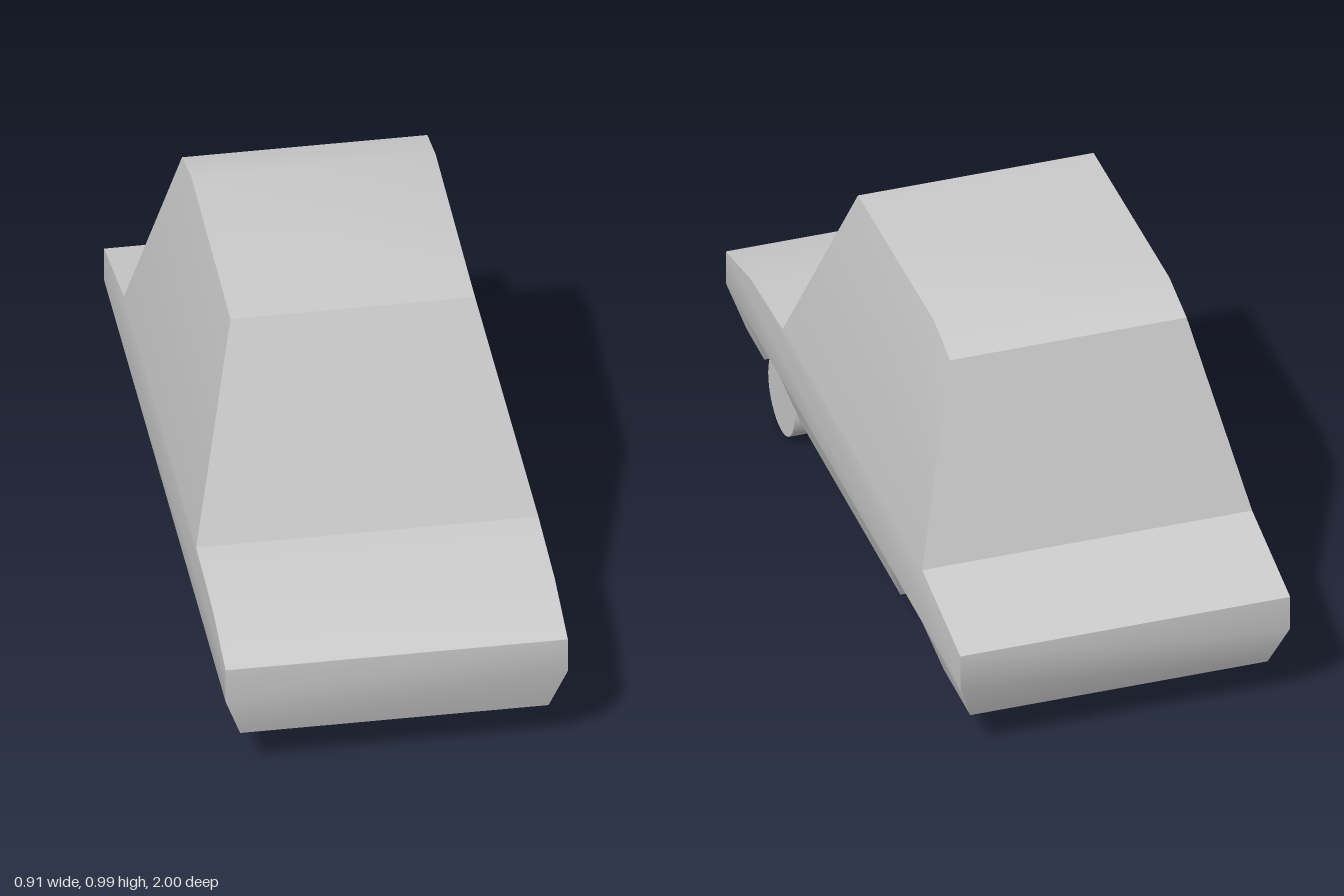
import * as THREE from 'three';
import { toCreasedNormals } from 'three/addons/utils/BufferGeometryUtils.js';

const FLOOR = 0.12, SILL = 0.25, BELT = 0.415, ARCH_DEPTH = 0.12;

// Half width of the body at a given height: tucked-in sill, straight flank, tapering cabin
function halfWidth(y) {
  if (y < SILL) return THREE.MathUtils.mapLinear(y, FLOOR, SILL, 0.41, 0.455);
  if (y <= BELT) return 0.455;
  return Math.max(0.325, THREE.MathUtils.mapLinear(y, BELT, 0.955, 0.455, 0.325));
}

// Silhouette as [z, y], running from the front floor edge over the roof to the rear floor edge
const cabin = [[0.515, BELT], [0.275, 0.965], [-0.37, 0.985], [-0.515, 0.95], [-0.675, BELT]];
const nose = [[0.96, FLOOR], [1, SILL], [1, 0.35], [0.79, 0.398]];
const tail = [[-1, 0.35], [-1, SILL], [-0.945, FLOOR]];
const silhouette = [...nose, ...cabin, ...tail];

// Wheel arches as [z, y], front to rear
const arches = [
  [[0.81, FLOOR], [0.765, SILL], [0.54, SILL], [0.5, FLOOR]],
  [[-0.35, FLOOR], [-0.405, SILL], [-0.675, SILL], [-0.72, FLOOR]],
];

// Adds a polygon of [x, y, z] corners whose front looks towards 'out'
function addFace(positions, corners, out) {
  const size = out.map(Math.abs);
  const drop = size.indexOf(Math.max(...size));
  const [u, v] = [0, 1, 2].filter((i) => i !== drop);
  const flat = corners.map((c) => new THREE.Vector2(c[u], c[v]));
  const outward = new THREE.Vector3(...out);
  for (const tri of THREE.ShapeUtils.triangulateShape(flat, [])) {
    const [a, b, c] = tri.map((i) => new THREE.Vector3(...corners[i]));
    const normal = b.clone().sub(a).cross(c.clone().sub(a));
    const ordered = normal.dot(outward) < 0 ? [a, c, b] : [a, b, c];
    ordered.forEach((p) => positions.push(p.x, p.y, p.z));
  }
}

function bodyGeometry() {
  const positions = [];

  // Bumpers, bonnet, windows, roof and boot: strips across the car along the silhouette
  for (let i = 0; i < silhouette.length - 1; i++) {
    const [z0, y0] = silhouette[i], [z1, y1] = silhouette[i + 1];
    const w0 = halfWidth(y0), w1 = halfWidth(y1);
    addFace(positions,
      [[-w0, y0, z0], [w0, y0, z0], [w1, y1, z1], [-w1, y1, z1]],
      [0, z0 - z1, y1 - y0]);
  }

  const lower = [[0.96, FLOOR], [1, SILL], [-1, SILL], [-0.945, FLOOR],
    ...arches.flat().reverse()];
  const flank = [...nose.slice(1), cabin[0], cabin[4], ...tail.slice(0, 2)];

  for (const s of [1, -1]) {
    // Sides: sill band with arch cut-outs, flank, cabin side
    for (const outline of [lower, flank, cabin]) {
      addFace(positions, outline.map(([z, y]) => [s * halfWidth(y), y, z]), [s, 0, 0]);
    }
    // Wheel arches: inner wall, ceiling and two sloping ends
    for (const arch of arches) {
      const outer = arch.map(([z, y]) => [s * halfWidth(y), y, z]);
      const inner = arch.map(([z, y]) => [s * (halfWidth(y) - ARCH_DEPTH), y, z]);
      addFace(positions, inner, [s, 0, 0]);
      [[0, -0.1, -1], [0, -1, 0], [0, -0.1, 1]].forEach((out, i) => {
        addFace(positions, [outer[i], outer[i + 1], inner[i + 1], inner[i]], out);
      });
    }
  }

  // Underside with the arches notched out of both edges
  const w = halfWidth(FLOOR);
  const edge = [[w, 0.96]];
  for (const arch of arches) {
    const z0 = arch[0][0], z1 = arch[3][0];
    edge.push([w, z0], [w - ARCH_DEPTH, z0], [w - ARCH_DEPTH, z1], [w, z1]);
  }
  edge.push([w, -0.945]);
  const mirrored = edge.map(([x, z]) => [-x, z]).reverse();
  addFace(positions, [...edge, ...mirrored].map(([x, z]) => [x, FLOOR, z]), [0, -1, 0]);

  const geometry = new THREE.BufferGeometry();
  geometry.setAttribute('position', new THREE.Float32BufferAttribute(positions, 3));
  return toCreasedNormals(geometry, THREE.MathUtils.degToRad(32));
}

export function createModel() {
  const material = new THREE.MeshStandardMaterial({ color: 0xcccccc });
  const car = new THREE.Group();
  car.name = 'car';

  const body = new THREE.Mesh(bodyGeometry(), material);
  body.name = 'body';
  car.add(body);

  // Single front wheel
  const wheelGeometry = new THREE.CylinderGeometry(0.112, 0.112, 0.07, 32);
  wheelGeometry.rotateZ(Math.PI / 2);
  const wheel = new THREE.Mesh(wheelGeometry, material);
  wheel.name = 'frontLeftWheel';
  wheel.position.set(0.38, 0.112, 0.65);
  car.add(wheel);

  return car;
}
